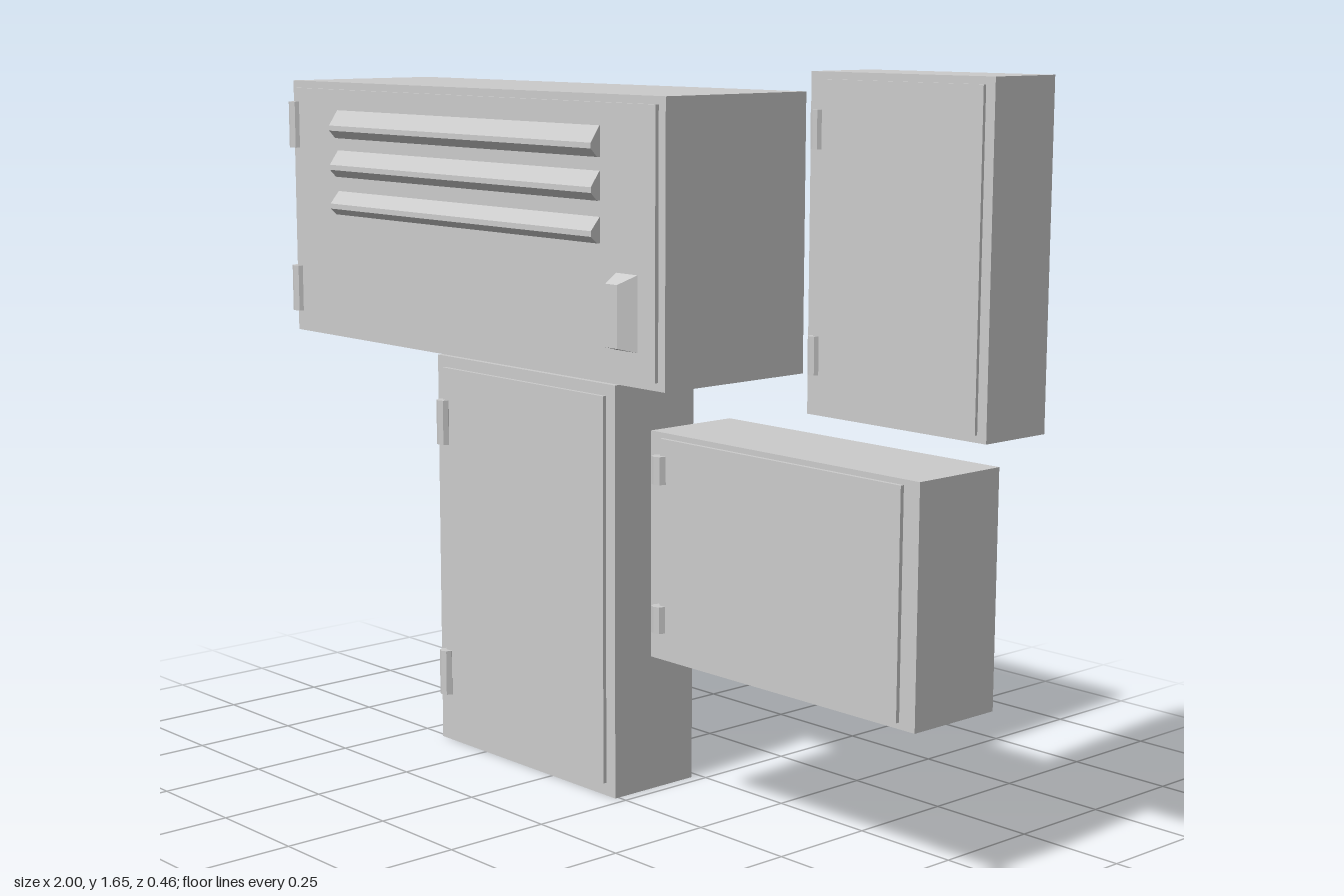
import * as THREE from 'three';

const material = new THREE.MeshStandardMaterial({ color: 0xcccccc, flatShading: true });

function add(parent, name, geometry, x = 0, y = 0, z = 0) {
  const mesh = new THREE.Mesh(geometry, material);
  mesh.name = name;
  mesh.position.set(x, y, z);
  parent.add(mesh);
  return mesh;
}

// Box given by its limits on each axis
function addBox(parent, name, [x0, x1], [y0, y1], [z0, z1]) {
  return add(parent, name, new THREE.BoxGeometry(x1 - x0, y1 - y0, z1 - z0),
    (x0 + x1) / 2, (y0 + y1) / 2, (z0 + z1) / 2);
}

// Closed box with a raised door and two barrel hinges on one side
function cabinet(name, { x, y, z, doorX, doorY, doorZ, hinge }) {
  const group = new THREE.Group();
  group.name = name;
  addBox(group, 'cabinetBody', x, y, z);
  addBox(group, 'door', doorX, doorY, [z[1] - 0.01, doorZ]);
  for (const [y0, y1] of hinge.spans) {
    add(group, 'hinge', new THREE.CylinderGeometry(hinge.r, hinge.r, y1 - y0, 8),
      hinge.x, (y0 + y1) / 2, hinge.z);
  }
  return group;
}

// Wedge-shaped slat running along x
function addSlat(parent, x0, x1, top, bottom) {
  const tip = top - (top - bottom) * 0.66;
  const profile = new THREE.Shape();
  profile.moveTo(-0.19, top);
  profile.lineTo(-0.197, top);
  profile.lineTo(-0.221, tip + 0.008);
  profile.lineTo(-0.221, tip - 0.004);
  profile.lineTo(-0.204, bottom);
  profile.lineTo(-0.19, bottom);
  const geometry = new THREE.ExtrudeGeometry(profile, { depth: x1 - x0, bevelEnabled: false });
  geometry.rotateY(Math.PI / 2); // profile -x becomes +z, depth becomes +x
  add(parent, 'ventSlat', geometry, x0);
}

// Handle tapering towards its front face
function addHandle(parent) {
  const geometry = new THREE.BoxGeometry(0.07, 0.165, 0.035);
  const p = geometry.attributes.position;
  for (let i = 0; i < p.count; i++) {
    if (p.getZ(i) < 0) continue;
    p.setX(i, p.getX(i) > 0 ? 0.003 : -0.033);
    p.setY(i, p.getY(i) > 0 ? 0.06 : -0.073);
  }
  geometry.computeVertexNormals();
  add(parent, 'handle', geometry, 0.226, 1.157, 0.21);
}

export function createModel() {
  const model = new THREE.Group();
  model.name = 'wallCabinets';

  // Large cabinet with vent slats and handle
  const large = cabinet('largeCabinet', {
    x: [-1, 0.333], y: [1, 1.605], z: [-0.217, 0.187],
    doorX: [-0.985, 0.312], doorY: [1.018, 1.588], doorZ: 0.196,
    hinge: { x: -0.982, z: 0.193, r: 0.018, spans: [[1.05, 1.16], [1.445, 1.555]] },
  });
  for (const [top, bottom] of [[1.54, 1.475], [1.446, 1.384], [1.35, 1.295]]) {
    addSlat(large, -0.805, 0.14, top, bottom);
  }
  addHandle(large);

  // Tall cabinet, lower left of the front
  const tall = cabinet('tallCabinet', {
    x: [-0.672, -0.025], y: [0, 0.955], z: [-0.228, 0.01],
    doorX: [-0.642, -0.056], doorY: [0.03, 0.928], doorZ: 0.019,
    hinge: { x: -0.638, z: 0.02, r: 0.018, spans: [[0.12, 0.23], [0.742, 0.85]] },
  });

  // Wide cabinet, lower right of the front
  const wide = cabinet('wideCabinet', {
    x: [0.095, 0.878], y: [0.36, 0.87], z: [-0.228, 0.01],
    doorX: [0.133, 0.836], doorY: [0.374, 0.858], doorZ: 0.019,
    hinge: { x: 0.134, z: 0.02, r: 0.018, spans: [[0.425, 0.485], [0.758, 0.82]] },
  });

  // Shallow upright cabinet, upper right of the front
  const small = cabinet('smallCabinet', {
    x: [0.52, 1], y: [0.955, 1.655], z: [-0.215, -0.04],
    doorX: [0.54, 0.977], doorY: [0.97, 1.64], doorZ: -0.033,
    hinge: { x: 0.544, z: -0.033, r: 0.013, spans: [[1.04, 1.12], [1.5, 1.58]] },
  });

  model.add(large, tall, wide, small);
  return model;
}
